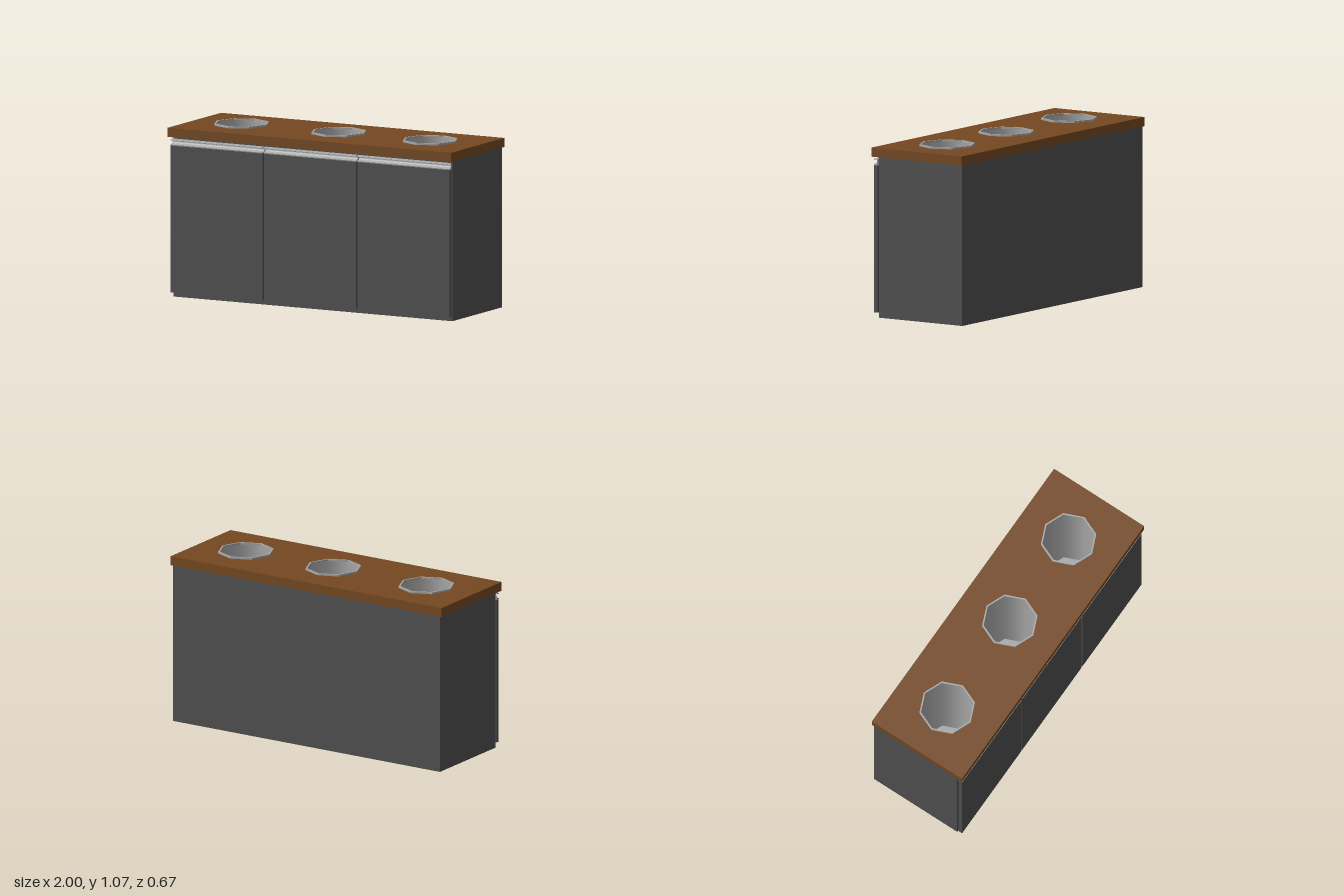
import * as THREE from 'three';

export function createModel() {
  const model = new THREE.Group();
  const wood = new THREE.MeshStandardMaterial({ color: 0x744820 });
  const charcoal = new THREE.MeshStandardMaterial({ color: 0x505050 });
  const steel = new THREE.MeshStandardMaterial({ color: 0xa8a8a8, side: THREE.DoubleSide });
  wood.name = 'wood';
  charcoal.name = 'charcoal';
  steel.name = 'steel';

  function add(name, geometry, material, parent = model) {
    const mesh = new THREE.Mesh(geometry, material);
    mesh.name = name;
    parent.add(mesh);
    return mesh;
  }

  // Box given by its minimum and maximum corners
  function box(name, material, [x0, y0, z0], [x1, y1, z1], parent) {
    const g = new THREE.BoxGeometry(x1 - x0, y1 - y0, z1 - z0);
    g.translate((x0 + x1) / 2, (y0 + y1) / 2, (z0 + z1) / 2);
    return add(name, g, material, parent);
  }

  // Octagon outline with its corners on the axes
  function octagon(PathType, radius, cx = 0) {
    const points = [];
    for (let i = 0; i < 8; i++) {
      const a = (i * Math.PI) / 4;
      points.push(new THREE.Vector2(cx + radius * Math.cos(a), radius * Math.sin(a)));
    }
    return new PathType(points);
  }

  // Horizontal slab extruded upwards from y
  function slab(shape, y, height) {
    const g = new THREE.ExtrudeGeometry(shape, { depth: height, bevelEnabled: false });
    return g.rotateX(-Math.PI / 2).translate(0, y, 0);
  }

  // Cabinet carcass, open under the worktop
  const W = 0.985, BACK = -0.33, FRONT = 0.29, T = 0.02;
  const carcass = new THREE.Group();
  carcass.name = 'carcass';
  model.add(carcass);
  box('bottomPanel', charcoal, [-W + T, 0, BACK + T], [W - T, T, FRONT - T], carcass);
  box('backPanel', charcoal, [-W, 0, BACK], [W, 1, BACK + T], carcass);
  box('frontPanel', charcoal, [-W, 0, FRONT - T], [W, 1, FRONT], carcass);
  box('rightPanel', charcoal, [-W, 0, BACK + T], [-W + T, 1, FRONT - T], carcass);
  box('leftPanel', charcoal, [W - T, 0, BACK + T], [W, 1, FRONT - T], carcass);

  // Worktop with three octagonal openings
  const binX = [-0.667, 0.02, 0.665];
  const OUTER = 0.174, INNER = 0.164, TOP = 1.057;
  const topShape = new THREE.Shape([
    new THREE.Vector2(-1, -0.335), new THREE.Vector2(1, -0.335),
    new THREE.Vector2(1, 0.335), new THREE.Vector2(-1, 0.335),
  ]);
  binX.forEach((x) => topShape.holes.push(octagon(THREE.Path, INNER + 0.002, x)));
  add('worktop', slab(topShape, 1, TOP - 1), wood);

  // Sunken bins: raised rim, smooth wall and floor
  const rimShape = octagon(THREE.Shape, OUTER);
  rimShape.holes.push(octagon(THREE.Path, INNER));
  const rimGeometry = slab(rimShape, TOP, 0.012);
  const FLOOR = 0.3;
  const wallGeometry = new THREE.LatheGeometry(
    [new THREE.Vector2(INNER, FLOOR), new THREE.Vector2(INNER, TOP + 0.002)], 8);
  const floorGeometry = new THREE.CircleGeometry(INNER, 8)
    .rotateX(-Math.PI / 2).translate(0, FLOOR, 0);
  binX.forEach((x) => {
    const bin = new THREE.Group();
    bin.name = 'bin';
    bin.position.x = x;
    add('binRim', rimGeometry, steel, bin);
    add('binWall', wallGeometry, steel, bin);
    add('binFloor', floorGeometry, steel, bin);
    model.add(bin);
  });

  // Hooked grip profile, drawn in z and y
  const grip = new THREE.Shape();
  grip.moveTo(0.3, 0.946);
  grip.lineTo(0.326, 0.946);
  grip.lineTo(0.328, 0.952);
  grip.quadraticCurveTo(0.305, 0.96, 0.304, 0.97);
  grip.lineTo(0.304, 0.983);
  grip.lineTo(0.324, 0.983);
  grip.lineTo(0.326, 0.979);
  grip.lineTo(0.328, 0.98);
  grip.lineTo(0.326, 0.987);
  grip.lineTo(0.3, 0.987);
  grip.closePath();

  // Three doors, each with a grip along its top edge
  for (const [x0, x1] of [[-0.985, -0.334], [-0.326, 0.326], [0.334, 0.985]]) {
    const door = new THREE.Group();
    door.name = 'door';
    model.add(door);
    box('doorPanel', charcoal, [x0, 0.03, 0.3], [x1, 0.946, 0.326], door);
    const g = new THREE.ExtrudeGeometry(grip, { depth: x1 - x0, bevelEnabled: false, curveSegments: 5 });
    g.rotateY(-Math.PI / 2).translate(x1, 0, 0);
    add('doorGrip', g, steel, door);
  }

  return model;
}
